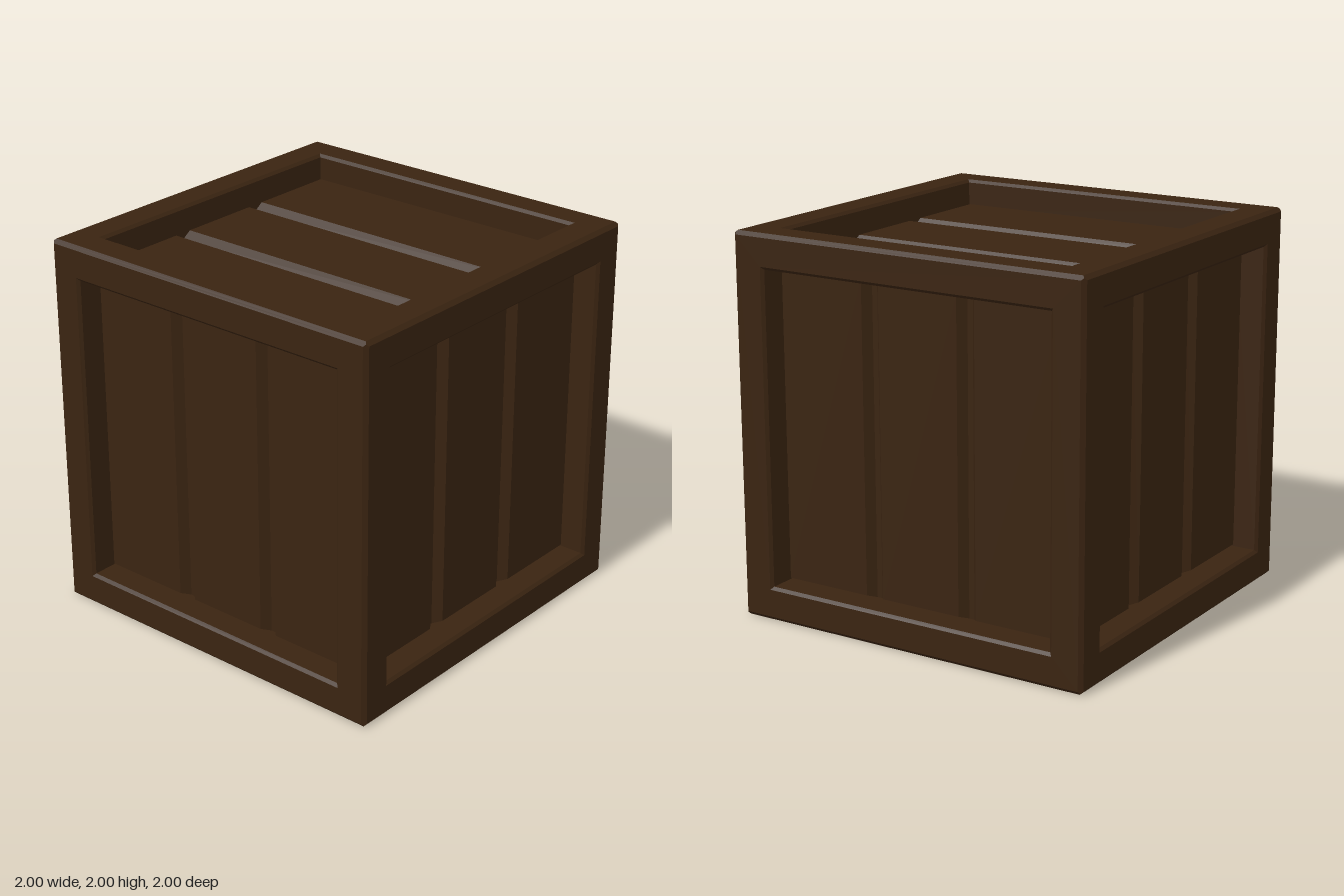
import * as THREE from 'three';

const wood = new THREE.MeshStandardMaterial({ color: 0x3a2411, flatShading: true });

// Surface through successive rectangles [x0, x1, y0, y1, z], outermost first
function rectLoft(rings, capped) {
  const pos = [];
  const corners = ([x0, x1, y0, y1, z]) => [[x0, y0, z], [x1, y0, z], [x1, y1, z], [x0, y1, z]];
  const quad = (a, b, c, d) => pos.push(...a, ...b, ...c, ...a, ...c, ...d);
  for (let i = 0; i < rings.length - 1; i++) {
    const a = corners(rings[i]), b = corners(rings[i + 1]);
    for (let k = 0; k < 4; k++) {
      const n = (k + 1) % 4;
      quad(a[k], a[n], b[n], b[k]);
    }
  }
  if (capped) quad(...corners(rings[rings.length - 1]));
  const geo = new THREE.BufferGeometry();
  geo.setAttribute('position', new THREE.Float32BufferAttribute(pos, 3));
  geo.computeVertexNormals();
  return geo;
}

const square = (h, z) => [-h, h, -h, h, z];
const OPEN = 0.82, FLOOR = 0.825, PANEL = 0.868;

// Frame border: outer chamfer, flat rim, inner chamfer, recess wall and groove floor
const frameGeo = rectLoft([
  square(0.99, 0.99), square(0.98, 1), square(0.835, 1),
  square(OPEN, 0.985), square(OPEN, FLOOR),
], true);

// Three planks with sloped edges that form the grooves between them
const EDGE = 0.015, SLOPE = 0.035;
const plankGeos = [
  [-OPEN, -0.29, EDGE, SLOPE],
  [-0.26, 0.26, SLOPE, SLOPE],
  [0.29, OPEN, SLOPE, EDGE],
].map(([x0, x1, left, right]) => rectLoft([
  [x0, x1, -OPEN, OPEN, FLOOR],
  [x0 - 0 + left, x1 - right, -OPEN + EDGE, OPEN - EDGE, PANEL],
], true));

function crateSide(name, rotation) {
  const side = new THREE.Group();
  side.name = name;
  const frame = new THREE.Mesh(frameGeo, wood);
  frame.name = 'frame';
  side.add(frame);
  plankGeos.forEach((geo, i) => {
    const plank = new THREE.Mesh(geo, wood);
    plank.name = `plank${i + 1}`;
    side.add(plank);
  });
  side.rotation.set(...rotation);
  return side;
}

export function createModel() {
  const model = new THREE.Group();
  model.name = 'crate';
  const body = new THREE.Group();
  body.name = 'crateBody';
  body.position.y = 1;
  const q = Math.PI / 2;
  // The planks of the bottom run across, the others run up or front to back
  const sides = {
    frontSide: [0, 0, 0],
    leftSide: [0, q, 0],
    backSide: [0, 2 * q, 0],
    rightSide: [0, -q, 0],
    topSide: [-q, 0, 0],
    bottomSide: [q, 0, q],
  };
  for (const [name, rotation] of Object.entries(sides)) body.add(crateSide(name, rotation));
  model.add(body);
  return model;
}
